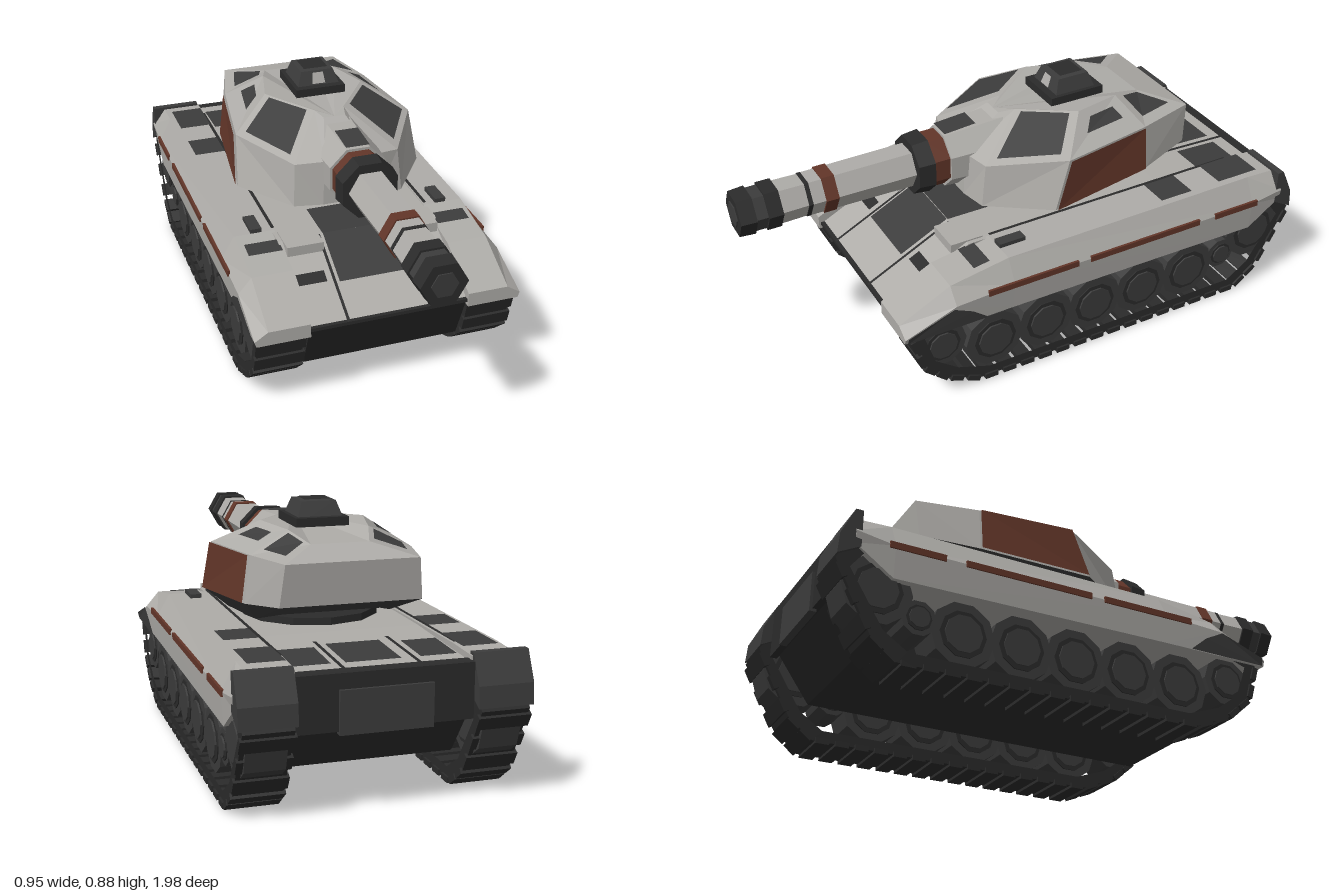
import * as THREE from 'three';

const mat = (name, color) => Object.assign(new THREE.MeshStandardMaterial({ color, flatShading: true }), { name });

export function createModel() {
  const armour = mat('armour grey', 0xaeaca8);
  const dark = mat('dark panel grey', 0x3c3c3c);
  const black = mat('running gear black', 0x2b2b2b);
  const rust = mat('rust red', 0x633629);
  const tank = new THREE.Group();
  tank.name = 'tank';

  const V = (p) => new THREE.Vector3(...p);
  const add = (name, geo, material) => {
    const m = new THREE.Mesh(geo, material);
    m.name = name;
    tank.add(m);
  };
  const fromTriangles = (points) => {
    const g = new THREE.BufferGeometry().setFromPoints(points);
    g.computeVertexNormals();
    return g;
  };
  // Adds a part at +x and its mirror image at -x
  const both = (name, geo, material) => {
    const src = geo.index ? geo.toNonIndexed() : geo;
    const p = src.attributes.position, pts = [];
    for (let i = 0; i < p.count; i += 3)
      for (const k of [0, 2, 1]) pts.push(new THREE.Vector3(-p.getX(i + k), p.getY(i + k), p.getZ(i + k)));
    add(name + 'Left', src, material);
    add(name + 'Right', fromTriangles(pts), material);
  };
  // Closed skin through matching rings, capped at both ends
  const loft = (rings) => {
    const t = [], n = rings[0].length;
    for (let r = 0; r + 1 < rings.length; r++)
      for (let i = 0; i < n; i++) {
        const a = rings[r], b = rings[r + 1], j = (i + 1) % n;
        t.push(a[i], a[j], b[j], a[i], b[j], b[i]);
      }
    const lo = rings[0], hi = rings[rings.length - 1];
    for (let i = 1; i + 1 < n; i++) t.push(lo[0], lo[i + 1], lo[i], hi[0], hi[i], hi[i + 1]);
    return fromTriangles(t.map(V));
  };
  // Thin painted face floating just above a surface
  const plate = (pts, lift = 0.005) => {
    const v = pts.map(V);
    const n = v[1].clone().sub(v[0]).cross(v[2].clone().sub(v[0])).normalize().multiplyScalar(lift);
    v.forEach((q) => q.add(n));
    const t = [];
    for (let i = 1; i + 1 < v.length; i++) t.push(v[0], v[i], v[i + 1]);
    return fromTriangles(t.map((q) => q.clone()));
  };
  const topPlate = (x, z, w, d, yBack, yFront = yBack) => plate([
    [x - w / 2, yFront, z + d / 2], [x + w / 2, yFront, z + d / 2],
    [x + w / 2, yBack, z - d / 2], [x - w / 2, yBack, z - d / 2]]);
  const box = (x, y, z, w, h, d) => new THREE.BoxGeometry(w, h, d).translate(x, y, z);
  // Side outline in (z, y) extruded across x
  const slab = (outline, x0, x1, hole) => {
    const s = new THREE.Shape(outline.map((p) => new THREE.Vector2(...p)));
    if (hole) s.holes.push(new THREE.Path(hole.map((p) => new THREE.Vector2(...p))));
    return new THREE.ExtrudeGeometry(s, { depth: x1 - x0, bevelEnabled: false }).rotateY(-Math.PI / 2).translate(x1, 0, 0);
  };

  // Hull
  add('upperHull', slab([[-0.93, 0.32], [0.6, 0.32], [0.28, 0.48], [-0.5, 0.48], [-0.93, 0.465]], -0.29, 0.29), armour);
  add('lowerHull', slab([[-0.8, 0.14], [0.52, 0.14], [0.595, 0.32], [-0.93, 0.32]], -0.28, 0.28), black);
  add('rearPlate', box(0, 0.38, -0.935, 0.57, 0.18, 0.025), black);
  add('rearLocker', box(0, 0.35, -0.945, 0.3, 0.14, 0.025), dark);
  add('glacisPanel', plate([[-0.13, 0.39, 0.46], [0.13, 0.39, 0.46], [0.13, 0.48, 0.28], [-0.13, 0.48, 0.28]], 0.008), dark);
  both('glacisSlot', plate([[0.17, 0.395, 0.45], [0.27, 0.395, 0.45], [0.27, 0.415, 0.41], [0.17, 0.415, 0.41]]), black);
  both('glacisStep', box(0.21, 0.46, 0.28, 0.13, 0.05, 0.12), armour);
  both('glacisGap', plate([[0.14, 0.321, 0.598], [0.15, 0.321, 0.598], [0.15, 0.48, 0.28], [0.14, 0.48, 0.28]]), black);
  add('noseSeam', box(0, 0.32, 0.595, 0.56, 0.012, 0.015), black);
  add('turretRing', new THREE.CylinderGeometry(0.24, 0.24, 0.05, 12).translate(0, 0.48, -0.18), black);
  add('deckUnderGun', topPlate(0, 0.19, 0.26, 0.18, 0.48), dark);

  // Engine deck covers
  add('deckHatchCentre', topPlate(0.01, -0.76, 0.18, 0.2, 0.471, 0.478), dark);
  both('deckHatch', topPlate(0.205, -0.77, 0.12, 0.17, 0.47, 0.477), dark);
  both('deckSeam', topPlate(0.122, -0.77, 0.012, 0.3, 0.467, 0.477), black);
  add('deckRearEdge', topPlate(0, -0.92, 0.57, 0.03, 0.466, 0.468), black);

  // Fenders: cross-sections [z, bottom, middle, top]
  const fender = [[-0.93, 0.38, 0.42, 0.485], [-0.8, 0.29, 0.4, 0.49], [0.2, 0.3, 0.4, 0.482],
    [0.42, 0.3, 0.39, 0.445], [0.61, 0.3, 0.32, 0.35]].map(([z, b, m, t]) =>
    [[0.28, b, z], [0.465, b, z], [0.472, m, z], [0.425, t, z], [0.28, t, z]]);
  both('fender', loft(fender), armour);
  both('fenderFrontSide', plate([[0.465, 0.3, 0.6], [0.465, 0.3, 0.3], [0.47, 0.35, 0.36], [0.472, 0.385, 0.43], [0.472, 0.325, 0.6]]), dark);
  both('fenderRearEnd', slab([[-0.91, 0.37], [-0.91, 0.495], [-0.935, 0.495], [-0.98, 0.4], [-0.985, 0.33]], 0.285, 0.468), dark);
  both('fenderRearHatch', topPlate(0.345, -0.77, 0.12, 0.17, 0.491), dark);
  both('fenderMidHatch', topPlate(0.345, -0.5, 0.12, 0.13, 0.489), dark);
  both('fenderFrontHatch', topPlate(0.345, 0.29, 0.12, 0.06, 0.474, 0.464), dark);
  both('fenderLatch', box(0.345, 0.487, 0.15, 0.04, 0.02, 0.1), dark);
  both('fenderInnerSeam', topPlate(0.285, -0.3, 0.012, 1, 0.491, 0.486), black);
  for (const [z0, z1] of [[0.3, -0.05], [-0.1, -0.56], [-0.63, -0.82]])
    both('sideStripe', box(0.472, 0.4, (z0 + z1) / 2, 0.009, 0.022, z0 - z1), rust);

  // Tracks with cleats
  const path = [[0.58, 0.3], [0.54, 0.16], [0.45, 0.08], [0.32, 0.025], [-0.77, 0.02],
    [-0.86, 0.09], [-0.985, 0.32], [-0.92, 0.42], [0.42, 0.36]];
  const inner = path.map(([z, y]) => [-0.2 + (z + 0.2) * 0.94, 0.22 + (y - 0.22) * 0.8]);
  both('track', slab(path, 0.295, 0.455, inner), black);
  for (let i = 0; i < 6; i++) {
    const [z0, y0] = path[i], [z1, y1] = path[i + 1];
    const len = Math.hypot(z1 - z0, y1 - y0), count = Math.max(1, Math.round(len / 0.075));
    for (let k = 0; k < count; k++) {
      const f = (k + 0.5) / count;
      both('trackCleat', new THREE.BoxGeometry(0.175, 0.02, 0.05).rotateX(-Math.atan2(y1 - y0, z1 - z0))
        .translate(0.375, y0 + (y1 - y0) * f, z0 + (z1 - z0) * f), black);
    }
  }

  // Road wheels, idler, sprocket and return roller [z, y, radius]
  const wheels = [[0.46, 0.22, 0.09], [-0.84, 0.255, 0.118], [-0.7, 0.19, 0.06]];
  for (const z of [0.26, 0.055, -0.145, -0.345, -0.55]) wheels.push([z, 0.168, 0.112]);
  for (const [z, y, r] of wheels) {
    const disc = (radius, width) => new THREE.CylinderGeometry(radius, radius, width, 10).rotateZ(Math.PI / 2).translate(0.375, y, z);
    both('wheel', disc(r, 0.13), dark);
    both('wheelDish', disc(r * 0.72, 0.138), black);
    both('wheelHub', disc(r * 0.58, 0.15), dark);
  }

  // Turret: half outlines front to back, closed along the centre line
  const halves = [
    [[0.11, 0.49, 0.05], [0.2, 0.49, 0.02], [0.27, 0.49, -0.08], [0.24, 0.5, -0.34], [0.18, 0.54, -0.47]],
    [[0.1, 0.55, 0.2], [0.2, 0.55, 0.18], [0.345, 0.55, -0.03], [0.3, 0.575, -0.43], [0.24, 0.6, -0.63]],
    [[0.09, 0.71, 0.19], [0.19, 0.7, 0.16], [0.33, 0.725, -0.09], [0.28, 0.735, -0.43], [0.225, 0.74, -0.645]],
    [[0.04, 0.8, 0.03], [0.055, 0.805, -0.03], [0.185, 0.812, -0.21], [0.14, 0.805, -0.39], [0.1, 0.775, -0.51]]];
  const rings = halves.map((h) => [[0, h[0][1], h[0][2]], ...h, [0, h[4][1], h[4][2]]]);
  both('turretBase', loft(rings.slice(0, 2)), dark);
  both('turretShell', loft(rings.slice(1)), armour);

  // Paint on a turret facet, within u and v ranges of that facet
  const facetPlate = (r, i, u0, u1, v0, v1) => {
    const a0 = halves[r][i], a1 = halves[r][i + 1], b0 = halves[r + 1][i], b1 = halves[r + 1][i + 1];
    const at = (u, v) => a0.map((p, k) => u >= v
      ? p + u * (a1[k] - p) + v * (b1[k] - a1[k])
      : p + v * (b0[k] - p) + u * (b1[k] - b0[k]));
    return plate([at(u0, v0), at(u1, v0), at(u1, v1), at(u0, v1)], 0.008);
  };
  both('turretSidePanel', facetPlate(1, 2, 0.01, 0.99, 0.01, 0.99), rust);
  both('cheekPanel', facetPlate(2, 1, 0.12, 0.88, 0.12, 0.94), dark);
  both('shoulderSlit', facetPlate(2, 2, 0.35, 0.85, 0.4, 0.75), dark);
  both('rearCornerPanel', facetPlate(2, 3, 0.2, 0.85, 0.25, 0.9), dark);

  // Commander's cupola
  add('cupola', new THREE.CylinderGeometry(0.085, 0.125, 0.08, 4).rotateY(Math.PI / 4).translate(0.01, 0.845, -0.255), dark);
  add('cupolaRim', box(0.01, 0.82, -0.255, 0.185, 0.03, 0.21), black);
  add('cupolaWindow', plate([[-0.015, 0.84, -0.177], [0.035, 0.84, -0.177], [0.03, 0.878, -0.192], [-0.01, 0.878, -0.192]], 0.004), armour);
  add('cupolaHatch', topPlate(0.01, -0.255, 0.09, 0.09, 0.884), black);

  // Gun, built from hexagonal and octagonal sections along z
  const section = (name, z0, z1, r0, r1, sides, material) => add(name,
    new THREE.CylinderGeometry(r1, r0, z1 - z0, sides).rotateY(Math.PI / sides).rotateX(Math.PI / 2)
      .translate(0.01, 0.672, (z0 + z1) / 2), material);
  section('mantlet', -0.05, 0.25, 0.13, 0.11, 8, armour);
  section('mantletBand', 0.24, 0.31, 0.1, 0.1, 8, rust);
  section('gunCollar', 0.31, 0.37, 0.112, 0.106, 8, black);
  section('gunBarrel', 0.36, 0.76, 0.077, 0.074, 6, armour);
  section('barrelBand', 0.655, 0.7, 0.08, 0.08, 6, rust);
  section('barrelSleeve', 0.76, 0.86, 0.072, 0.074, 6, armour);
  section('sleeveSeam', 0.745, 0.76, 0.075, 0.075, 6, black);
  section('muzzleBrakeRear', 0.85, 0.9, 0.082, 0.082, 6, black);
  section('muzzleBrakeMiddle', 0.9, 0.95, 0.074, 0.074, 6, dark);
  section('muzzleBrakeFront', 0.94, 0.995, 0.082, 0.078, 6, black);
  section('muzzleBore', 0.99, 0.999, 0.045, 0.045, 6, dark);
  add('mantletTopPlate', topPlate(0.01, 0.185, 0.085, 0.12, 0.785, 0.775), dark);
  return tank;
}
